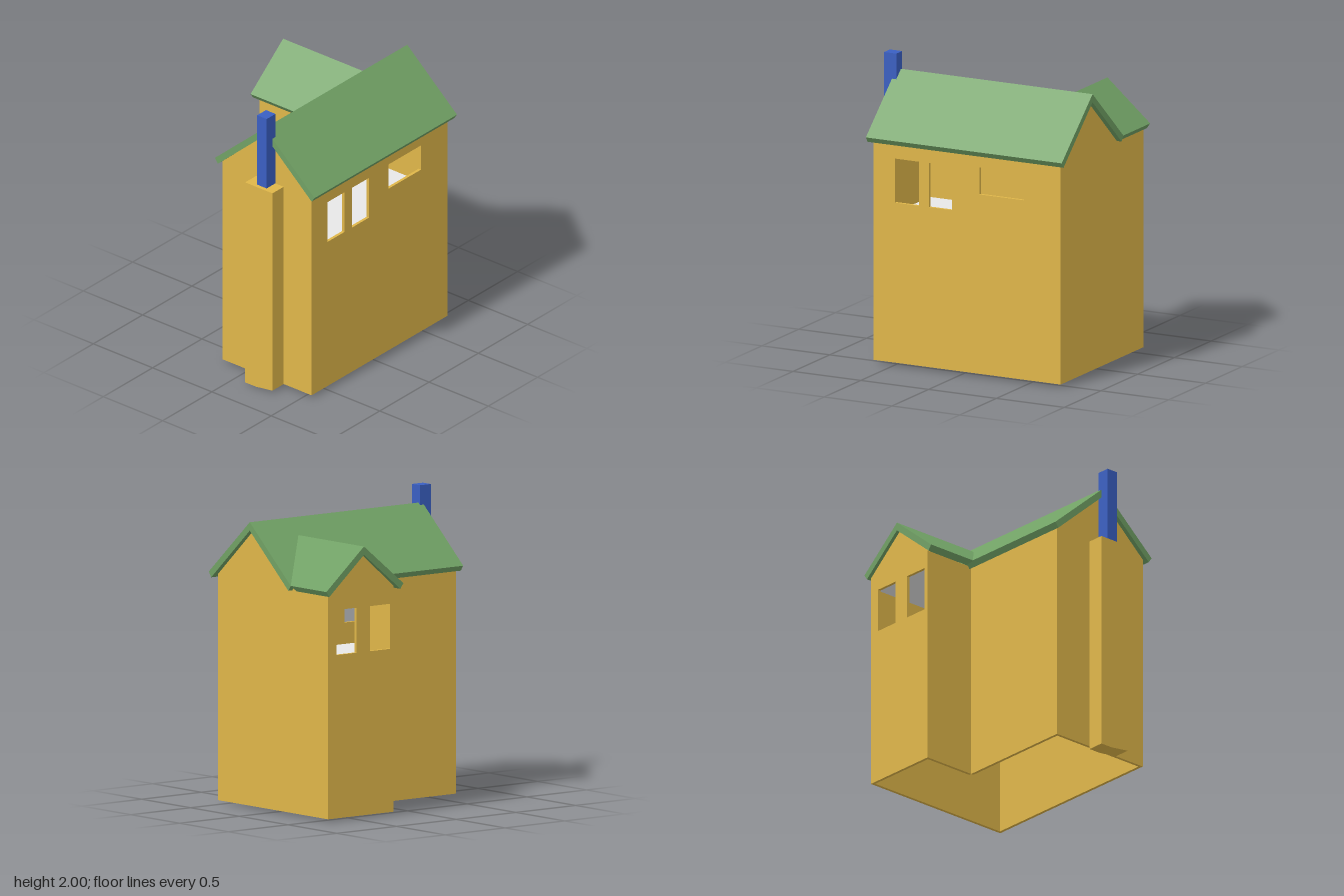
import * as THREE from 'three';

const mat = (name, color, side = THREE.FrontSide) => {
  const m = new THREE.MeshStandardMaterial({ color, side });
  m.name = name;
  return m;
};

const poly = (pts, Type = THREE.Shape) => new Type(pts.map(([x, y]) => new THREE.Vector2(x, y)));
const rect = (x0, x1, y0, y1) => [[x0, y0], [x1, y0], [x1, y1], [x0, y1]];

export function createModel() {
  const house = new THREE.Group();
  house.name = 'house';
  const ochre = mat('ochre wall', 0xdfb649);
  const green = mat('green roof', 0x70a064);
  const blue = mat('blue flue', 0x3a5fc2);
  const white = mat('white interior', 0xffffff, THREE.DoubleSide);

  const add = (name, geo, material) => {
    const mesh = new THREE.Mesh(geo, material);
    mesh.name = name;
    house.add(mesh);
    return mesh;
  };

  // Plan: main block and a side wing at the back
  const X0 = -0.58, XM = -0.2, X1 = 0.55, ZB = -0.73, ZW = -0.18, ZF = 0.65;
  const Y0 = 0.02, EAVE = 1.5, RIDGE = 0.18, WING_RIDGE = -0.45;
  const T = 0.02;

  // Thin walls, drawn in their own plane and thickened inwards
  const wall = (name, outline, holes, x, z, turn) => {
    const shape = poly(outline);
    holes.forEach((h) => shape.holes.push(poly(h, THREE.Path)));
    const geo = new THREE.ExtrudeGeometry(shape, { depth: T, bevelEnabled: false });
    geo.translate(0, 0, -T).rotateY(turn).translate(x, 0, z);
    add(name, geo, ochre);
  };
  const Q = Math.PI / 2;

  wall('frontWall', [[XM, Y0], [X1, Y0], [X1, EAVE], [RIDGE, 1.83], [XM, EAVE]], [], 0, ZF, 0);
  wall('backWall', [[-X1, Y0], [-X0, Y0], [-X0, EAVE], [-XM, EAVE], [-RIDGE, 1.83], [-X1, EAVE]], [], 0, ZB, Math.PI);
  wall('windowWall', rect(-ZF, -ZB, Y0, EAVE), [
    rect(-0.49, -0.315, 1.09, 1.385),
    rect(-0.24, -0.07, 1.09, 1.385),
    rect(0.13, 0.46, 1.22, 1.4),
  ], X1, 0, Q);
  wall('plainSideWall', rect(ZW, ZF, Y0, EAVE), [], XM, 0, -Q);
  wall('wingFrontWall', rect(X0, XM, Y0, EAVE), [], 0, ZW, 0);
  wall('wingGableWall', [[ZB, Y0], [ZW, Y0], [ZW, EAVE], [WING_RIDGE, 1.73], [ZB, EAVE]], [
    rect(-0.66, -0.49, 1.09, 1.385),
    rect(-0.38, -0.21, 1.09, 1.385),
  ], X0, 0, -Q);

  // Attic floor and ceiling
  const plan = poly([[X0, ZB], [X1, ZB], [X1, ZF], [XM, ZF], [XM, ZW], [X0, ZW]].map(
    ([x, z]) => [x + (x > 0 ? -0.01 : 0.01), z + (z < -0.5 || z === ZB ? 0.01 : -0.01)]));
  [['floor', 0.95], ['ceiling', 1.41]].forEach(([name, y]) => {
    add(name, new THREE.ShapeGeometry(plan).rotateX(Q).translate(0, y, 0), white);
  });

  // Chevron roof: ridge, two eaves, square-cut eave edges
  const roof = (left, mid, right, ridgeY, depth) => {
    const e = 1.515, dx = 0.025, dy = 0.035;
    return new THREE.ExtrudeGeometry(poly([
      [left, e], [left + dx, e - dy], [mid, ridgeY - 0.055],
      [right - dx, e - dy], [right, e], [mid, ridgeY],
    ]), { depth, bevelEnabled: false });
  };
  add('mainRoof', roof(-0.24, RIDGE, 0.6, 1.885, 1.445).translate(0, 0, -0.765), green);

  // Wing roof, its inner end mitred against the main slope
  const wing = roof(-0.765, WING_RIDGE, -0.12, 1.785, 0.605).rotateY(-Q);
  const p = wing.attributes.position;
  for (let i = 0; i < p.count; i++) {
    if (p.getX(i) > -0.01) p.setX(i, RIDGE - (1.885 - p.getY(i)) / 0.881 + 0.008);
  }
  wing.computeVertexNormals();
  add('wingRoof', wing, green);

  // Chimney breast with a slanted foot, and the flue above it
  const breast = poly([[0.085, 0], [0.175, 0], [0.315, 0.02], [0.315, 1.485], [0.085, 1.485]]);
  add('chimneyBreast', new THREE.ExtrudeGeometry(breast, { depth: 0.115, bevelEnabled: false })
    .translate(0, 0, ZF), ochre);
  add('flue', new THREE.BoxGeometry(0.08, 0.515, 0.09).translate(0.204, 1.7425, 0.693), blue);

  return house;
}
